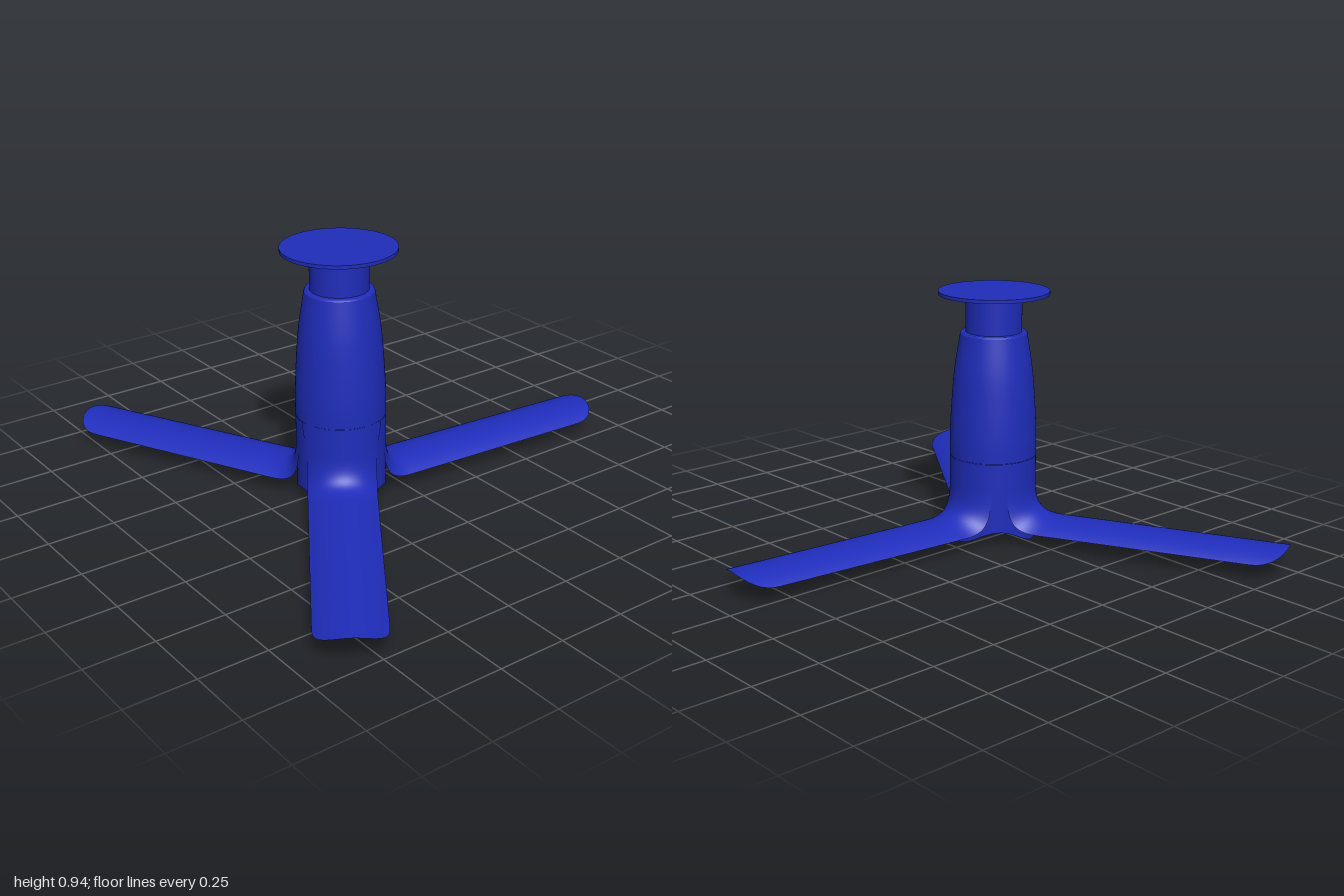
import * as THREE from 'three';

const HUB_R = 0.16;
const BLADE_ANGLE = THREE.MathUtils.degToRad(176); // first blade, measured from +z
const BLADE_COUNT = 3;

const blue = new THREE.MeshStandardMaterial({ color: 0x1f2dbb, side: THREE.DoubleSide });
const grey = new THREE.MeshStandardMaterial({ color: 0xcccccc, side: THREE.DoubleSide });

function addMesh(parent, name, geometry, material = blue) {
  const mesh = new THREE.Mesh(geometry, material);
  mesh.name = name;
  parent.add(mesh);
  return mesh;
}

// Height of the wavy lower rim: it dips under every blade
function rimHeight(angle) {
  return 0.027 - 0.027 * Math.cos(BLADE_COUNT * (angle - BLADE_ANGLE));
}

// Open cylinder whose lower edge follows the wave
function skirtGeometry() {
  const geo = new THREE.CylinderGeometry(HUB_R, HUB_R + 0.002, 1, 96, 8, true);
  const pos = geo.attributes.position;
  for (let i = 0; i < pos.count; i++) {
    const bottom = rimHeight(Math.atan2(pos.getX(i), pos.getZ(i)));
    pos.setY(i, THREE.MathUtils.lerp(bottom, 0.32, pos.getY(i) + 0.5));
  }
  return geo;
}

// Undulating cap that closes the hub from below
function capGeometry() {
  const geo = new THREE.RingGeometry(0.001, HUB_R - 0.002, 72, 8).rotateX(Math.PI / 2);
  const pos = geo.attributes.position;
  for (let i = 0; i < pos.count; i++) {
    const x = pos.getX(i), z = pos.getZ(i);
    const k = (Math.hypot(x, z) / HUB_R) ** 2;
    pos.setY(i, THREE.MathUtils.lerp(0.03, rimHeight(Math.atan2(x, z)) + 0.012, k));
  }
  geo.computeVertexNormals();
  return geo;
}

// One lengthwise line of the blade: down the hub, around the fillet, out to the tip.
// t runs from -1 to 1 across the blade.
function bladeLine(t) {
  const R = HUB_R + 0.003;
  const a = Math.abs(t);
  const x = 0.125 * t;
  const hubZ = Math.sqrt(R * R - x * x);
  const y = 0.1 - 0.042 * t * t;
  const tip = 1.132 - 0.12 * (1 - Math.pow(Math.max(0, 1 - a ** 2.4), 1 / 2.4));
  const points = [];
  // Root wrapped around the hub
  for (let i = 0; i < 8; i++) {
    const k = i / 8;
    const angle = THREE.MathUtils.lerp(t * 1.03, Math.asin(x / R), k * k * (3 - 2 * k));
    points.push(new THREE.Vector3(R * Math.sin(angle), 0.32 - 0.12 * k, R * Math.cos(angle)));
  }
  // Fillet
  const fillet = new THREE.CubicBezierCurve3(
    new THREE.Vector3(x, 0.2, hubZ),
    new THREE.Vector3(x, 0.2 - 0.75 * (0.2 - y), hubZ + 0.004),
    new THREE.Vector3(x, y, hubZ + 0.03),
    new THREE.Vector3(x, y, hubZ + 0.12));
  points.push(...fillet.getPoints(12));
  // Blade with a slight taper
  for (let i = 1; i <= 16; i++) {
    const k = i / 16;
    points.push(new THREE.Vector3(x * (1 - 0.04 * k), y, THREE.MathUtils.lerp(hubZ + 0.12, tip, k)));
  }
  return points;
}

function bladeGeometry() {
  const across = 28;
  const positions = [], index = [];
  let n = 0;
  for (let j = 0; j <= across; j++) {
    const line = bladeLine(Math.sin((j / across - 0.5) * Math.PI));
    n = line.length;
    line.forEach(p => positions.push(p.x, p.y, p.z));
  }
  for (let j = 0; j < across; j++) {
    for (let i = 0; i < n - 1; i++) {
      const a = j * n + i, b = a + n;
      index.push(a, a + 1, b, a + 1, b + 1, b);
    }
  }
  const geo = new THREE.BufferGeometry();
  geo.setAttribute('position', new THREE.Float32BufferAttribute(positions, 3));
  geo.setIndex(index);
  geo.computeVertexNormals();
  return geo;
}

export function createModel() {
  const model = new THREE.Group();
  model.name = 'ceilingFan';
  const fan = new THREE.Group();
  fan.name = 'fan';
  fan.position.set(0.035, 0, 0.215);
  model.add(fan);

  // Ceiling plate and neck
  addMesh(fan, 'ceilingPlate', new THREE.CylinderGeometry(0.207, 0.207, 0.013, 96)).position.y = 0.9385;
  addMesh(fan, 'neck', new THREE.CylinderGeometry(0.105, 0.105, 0.15, 64)).position.y = 0.86;

  // Motor housing, swelling towards the bottom
  const side = new THREE.SplineCurve([
    [0.163, 0.322], [0.163, 0.4], [0.157, 0.52], [0.146, 0.65], [0.125, 0.785],
  ].map(p => new THREE.Vector2(...p))).getPoints(28);
  addMesh(fan, 'motorHousing', new THREE.LatheGeometry(side, 72));
  const lid = [[0.125, 0.785], [0.121, 0.792], [0.1, 0.792]].map(p => new THREE.Vector2(...p));
  addMesh(fan, 'housingShoulder', new THREE.LatheGeometry(lid, 72));

  // Rotating hub
  addMesh(fan, 'hubSkirt', skirtGeometry());
  addMesh(fan, 'hubCap', capGeometry(), grey);

  // Blades
  const blade = bladeGeometry();
  for (let i = 0; i < BLADE_COUNT; i++) {
    addMesh(fan, 'blade', blade).rotation.y = BLADE_ANGLE + (i * 2 * Math.PI) / BLADE_COUNT;
  }
  return model;
}
